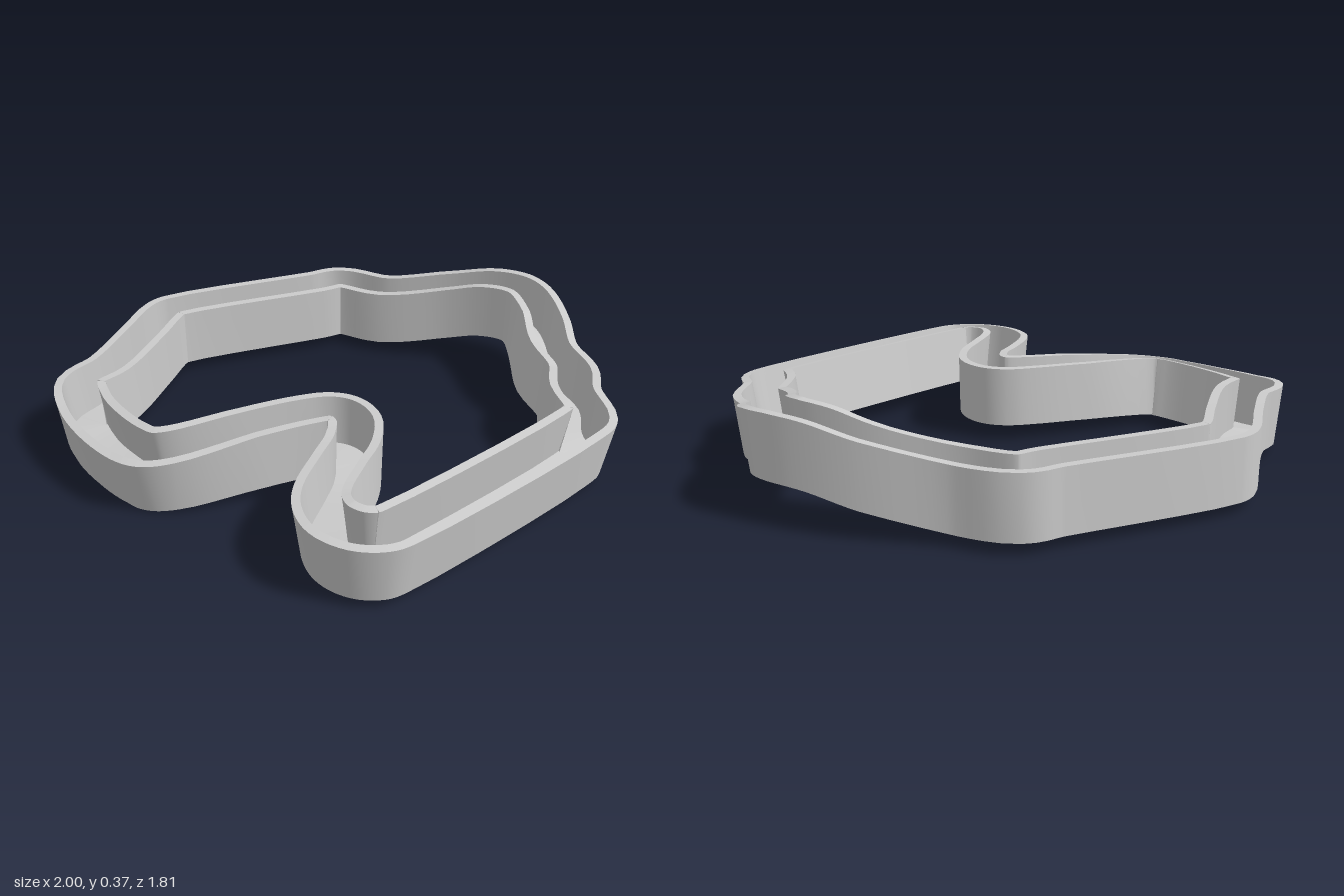
import * as THREE from 'three';

const HALF = 0.094;   // half width of the channel
const DEPTH = 0.222;  // full height of the walls
const WALL = 0.03;    // wall thickness
const BED = 0.03;     // thickness of the road bed
const STEPS = 5;      // rings between two stations

// Stations along the lap: x, z, rim height, drop of the outer side
const stations = [
  -0.20, -0.815, 0.27, 0,      0.00, -0.785, 0.272, 0,
  0.27, -0.79, 0.325, 0,       0.43, -0.77, 0.367, 0,
  0.55, -0.735, 0.377, 0,      0.61, -0.69, 0.37, 0.01,
  0.68, -0.575, 0.34, 0.03,    0.73, -0.425, 0.30, 0.03,
  0.815, -0.30, 0.28, 0.02,    0.835, -0.155, 0.28, 0.02,
  0.90, -0.015, 0.268, 0.03,   0.87, 0.06, 0.268, 0.03,
  0.375, 0.76, 0.276, 0.03,    0.335, 0.795, 0.277, 0.03,
  0.26, 0.81, 0.278, 0.03,     0.175, 0.78, 0.279, 0.03,
  0.125, 0.715, 0.28, 0.025,   0.11, 0.64, 0.282, 0.015,
  0.125, 0.485, 0.285, 0.01,   0.14, 0.365, 0.288, 0,
  0.12, 0.255, 0.29, -0.005,   0.07, 0.205, 0.29, -0.005,
  0.02, 0.20, 0.29, -0.005,    -0.065, 0.24, 0.287, 0,
  -0.225, 0.345, 0.278, 0.005, -0.45, 0.505, 0.255, 0.03,
  -0.535, 0.53, 0.247, 0.04,   -0.605, 0.51, 0.244, 0.045,
  -0.735, 0.43, 0.244, 0.04,   -0.85, 0.325, 0.25, 0.03,
  -0.915, 0.21, 0.263, 0.015,  -0.86, 0.08, 0.267, 0.005,
  -0.83, -0.17, 0.27, 0,       -0.815, -0.36, 0.27, 0,
  -0.79, -0.405, 0.27, 0,      -0.29, -0.75, 0.27, 0,
];

// Rings: rim centre, outward direction and roll angle
function makeRings() {
  const points = [], drops = [];
  for (let i = 0; i < stations.length; i += 4) {
    points.push(new THREE.Vector3(stations[i], stations[i + 2], stations[i + 1]));
    drops.push(stations[i + 3]);
  }
  const curve = new THREE.CatmullRomCurve3(points, true, 'centripetal');
  const n = points.length, rings = [];
  for (let k = 0; k < n * STEPS; k++) {
    const i = Math.floor(k / STEPS);
    const drop = THREE.MathUtils.lerp(drops[i], drops[(i + 1) % n], (k % STEPS) / STEPS);
    const t = k / (n * STEPS);
    const tangent = curve.getTangent(t);
    const out = new THREE.Vector3(tangent.z, 0, -tangent.x).normalize();
    rings.push({ centre: curve.getPoint(t), out, roll: Math.asin(drop / (2 * HALF)) });
  }
  return rings;
}

// Sweeps an open profile round the lap; every profile edge gets its own strip
function sweep(rings, profile) {
  const positions = [], index = [], n = rings.length;
  for (let e = 0; e < profile.length - 1; e++) {
    const base = positions.length / 3;
    rings.forEach(({ centre, out, roll }, k) => {
      const c = Math.cos(roll), s = Math.sin(roll);
      for (const [side, up] of [profile[e], profile[e + 1]]) {
        const p = centre.clone().addScaledVector(out, side * c + up * s);
        positions.push(p.x, p.y + up * c - side * s, p.z);
      }
      const a = base + 2 * k, d = base + 2 * ((k + 1) % n);
      index.push(a, a + 1, d + 1, a, d + 1, d);
    });
  }
  const geometry = new THREE.BufferGeometry();
  geometry.setAttribute('position', new THREE.Float32BufferAttribute(positions, 3));
  geometry.setIndex(index);
  geometry.computeVertexNormals();
  return geometry;
}

export function createModel() {
  const group = new THREE.Group();
  group.name = 'raceTrack';
  const material = new THREE.MeshStandardMaterial({ color: 0xcccccc, side: THREE.DoubleSide });
  const rings = makeRings();
  const w = HALF, v = HALF - WALL, floor = BED - DEPTH;

  const parts = {
    outerWall: [[w, -DEPTH], [w, 0], [v, 0], [v, floor]],
    innerWall: [[-v, floor], [-v, 0], [-w, 0], [-w, -DEPTH]],
    roadSurface: [[v, floor], [-v, floor]],
    underside: [[-w, -DEPTH], [w, -DEPTH]],
  };
  for (const [name, profile] of Object.entries(parts)) {
    const mesh = new THREE.Mesh(sweep(rings, profile), material);
    mesh.name = name;
    group.add(mesh);
  }

  // Stand on the ground, centred
  const box = new THREE.Box3().setFromObject(group);
  const centre = box.getCenter(new THREE.Vector3());
  for (const mesh of group.children) mesh.geometry.translate(-centre.x, -box.min.y, -centre.z);
  return group;
}
